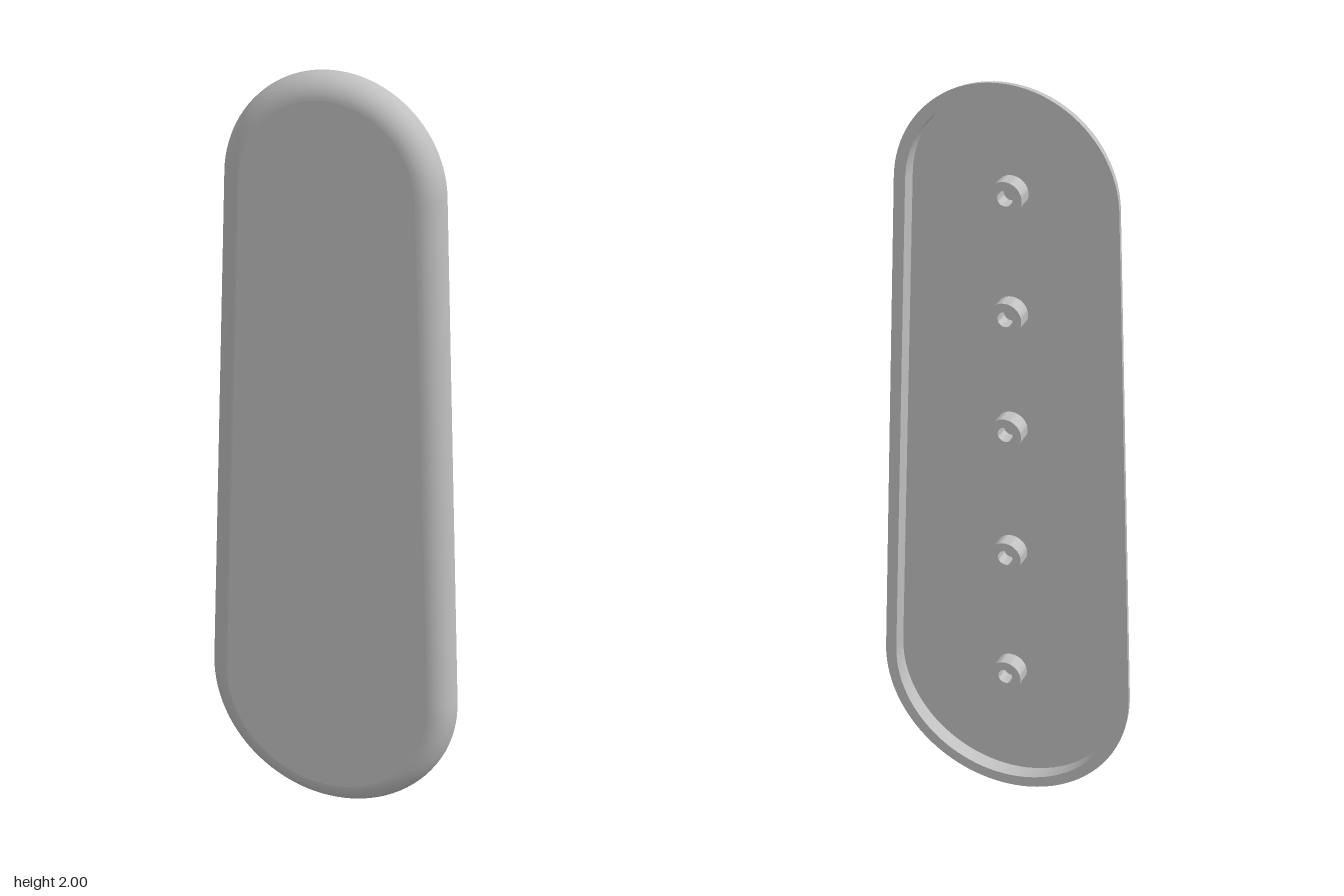
import * as THREE from 'three';
import { toCreasedNormals } from 'three/addons/utils/BufferGeometryUtils.js';

const LOW = { y: 0.345, r: 0.345 };   // large bottom arc
const HIGH = { y: 1.71, r: 0.29 };    // small top arc
const BACK = -0.03, FRONT = 0.03, FLOOR = 0.015;
const ROUND = 0.06, RIM = 0.03, ARC = 48;

// Tapered rounded outline, counter-clockwise, moved inwards by inset
function outline(inset) {
  const tilt = Math.asin((LOW.r - HIGH.r) / (HIGH.y - LOW.y));
  const points = [];
  const arc = (c, from, to) => {
    for (let i = 0; i <= ARC; i++) {
      const t = from + (to - from) * i / ARC;
      points.push(new THREE.Vector2(Math.cos(t) * (c.r - inset), c.y + Math.sin(t) * (c.r - inset)));
    }
  };
  arc(HIGH, tilt, Math.PI - tilt);
  arc(LOW, Math.PI - tilt, 2 * Math.PI + tilt);
  return points;
}

// Closed band swept round the outline through [inset, z] profile points
function band(profile) {
  const pos = [], index = [];
  let n = 0;
  for (const [inset, z] of profile) {
    const loop = outline(inset);
    n = loop.length;
    for (const p of loop) pos.push(p.x, p.y, z);
  }
  for (let i = 0; i < profile.length - 1; i++) {
    for (let j = 0; j < n; j++) {
      const k = (j + 1) % n;
      const a = i * n + j, b = i * n + k, c = a + n, d = b + n;
      index.push(a, b, c, b, d, c);
    }
  }
  const geo = new THREE.BufferGeometry();
  geo.setAttribute('position', new THREE.Float32BufferAttribute(pos, 3));
  geo.setIndex(index);
  geo.computeVertexNormals();
  return geo;
}

export function createModel() {
  const model = new THREE.Group();
  model.name = 'coverPlate';
  const grey = new THREE.MeshStandardMaterial({ color: 0xc0c0c0 });
  grey.name = 'light grey';

  const add = (name, geo) => {
    const mesh = new THREE.Mesh(geo, grey);
    mesh.name = name;
    model.add(mesh);
    return mesh;
  };

  // Quarter-round outer edge
  const edge = [];
  for (let i = 0; i <= 12; i++) {
    const t = i / 12 * Math.PI / 2;
    edge.push([ROUND * (1 - Math.cos(t)), BACK + ROUND * Math.sin(t)]);
  }
  add('roundedEdge', band(edge));

  // Flat front face
  const face = new THREE.ShapeGeometry(new THREE.Shape(outline(ROUND)));
  add('frontFace', face).position.z = FRONT;

  // Hollow back: rim, inner wall and recessed floor
  add('backRim', band([[RIM, BACK], [0, BACK]]));
  add('innerWall', band([[RIM, FLOOR], [RIM, BACK]]));
  const floor = new THREE.ShapeGeometry(new THREE.Shape(outline(RIM)));
  floor.rotateY(Math.PI);
  add('recessFloor', floor).position.z = FLOOR;

  // Hollow mounting bosses along the centre line
  const height = FLOOR - BACK;
  const profile = [[0.043, 0], [0.043, height], [0.02, height], [0.02, 0.004], [0, 0.004]]
    .map(([r, y]) => new THREE.Vector2(r, y));
  const boss = toCreasedNormals(new THREE.LatheGeometry(profile, 32), 0.6);
  boss.rotateX(-Math.PI / 2);
  [0.345, 0.71, 1.07, 1.39, 1.71].forEach((y, i) => {
    add(`mountingBoss${i + 1}`, boss).position.set(0, y, FLOOR);
  });

  return model;
}
